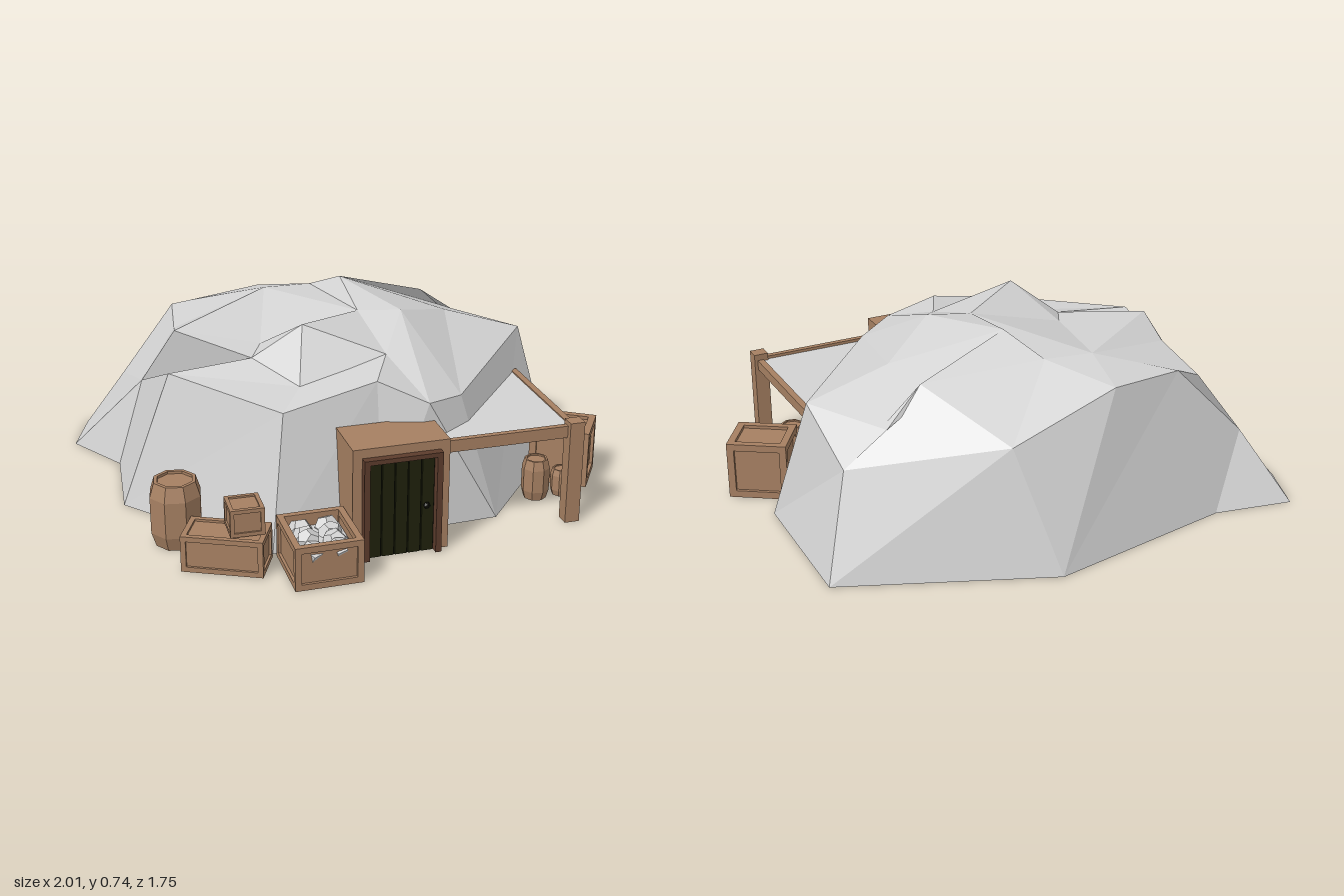
import * as THREE from 'three';

const mat = (name, color, extra = {}) => {
  const m = new THREE.MeshStandardMaterial({ color, flatShading: true, ...extra });
  m.name = name;
  return m;
};
const rock = mat('grey rock', 0xd3d3d3, { side: THREE.DoubleSide });
const wood = mat('wood', 0xa68062);
const darkWood = mat('dark wood', 0x5c3c2c);
const doorGreen = mat('dark green door', 0x1f210c);
const iron = mat('black iron', 0x11120a);

function add(parent, name, geo, material, x = 0, y = 0, z = 0) {
  const m = new THREE.Mesh(geo, material);
  m.name = name;
  m.position.set(x, y, z);
  parent.add(m);
  return m;
}

// Box given by its minimum and maximum corners
function span(parent, name, material, [x0, y0, z0], [x1, y1, z1]) {
  return add(parent, name, new THREE.BoxGeometry(x1 - x0, y1 - y0, z1 - z0), material,
    (x0 + x1) / 2, (y0 + y1) / 2, (z0 + z1) / 2);
}

// Faceted boulder: matching rings from the ground up, then a small cap
function boulder() {
  const base = [[-.43, 0, .585], [0, 0, .56], [.46, 0, .54], [.46, 0, .54], [.9, 0, .03],
    [.91, 0, -.56], [.14, 0, -.88], [.14, 0, -.88], [-.61, 0, -.75], [-.92, 0, -.81],
    [-1, 0, -.59], [-.85, 0, -.34], [-.89, 0, .04]];
  const rim = [[-.36, .51, .49], [0, .585, .47], [.18, .505, .54], [.34, .48, .44], [.8, .51, -.12],
    [.79, .38, -.44], [.26, .465, -.71], [-.17, .6, -.69], [-.48, .58, -.63], [-.77, .28, -.65],
    [-.74, .36, -.34], [-.74, .36, -.34], [-.7, .545, .08]];
  const upper = [[-.25, .53, .31], [-.05, .57, .285], [.1, .605, .265], [.23, .695, .045], [.48, .61, -.14],
    [.62, .5, -.44], [.46, .62, -.38], [0, .66, -.47], [-.19, .655, -.49], [-.55, .56, -.66],
    [-.6, .57, -.34], [-.63, .625, -.16], [-.38, .577, .09]];
  const a = [-.2, .72, .165], b = [.07, .69, -.01], c = [.085, .735, -.31];
  const d = [-.32, .59, -.02], e = upper[8], f = upper[7];
  const crown = [a, a, a, b, c, c, c, f, e, e, e, e, d];
  const pos = [];
  const tri = (...p) => {
    const [u, v, w] = p.map(q => new THREE.Vector3(...q));
    if (v.clone().sub(u).cross(w.clone().sub(u)).length() > 1e-6) pos.push(...p.flat());
  };
  const rings = [base, rim, upper, crown];
  for (let r = 0; r < 3; r++) {
    for (let i = 0; i < base.length; i++) {
      const j = (i + 1) % base.length, lo = rings[r], hi = rings[r + 1];
      tri(lo[i], lo[j], hi[j]);
      tri(lo[i], hi[j], hi[i]);
    }
  }
  tri(a, b, d);
  tri(b, c, f);
  tri(b, f, e);
  tri(b, e, d);
  const g = new THREE.BufferGeometry();
  g.setAttribute('position', new THREE.Float32BufferAttribute(pos, 3));
  g.computeVertexNormals();
  return g;
}

// Crate: recessed panels inside a frame of twelve bars
function crate(parent, name, w, h, d, x, y, z, turn, open = false) {
  const g = new THREE.Group();
  g.name = name;
  g.position.set(x, y, z);
  g.rotation.y = turn;
  const t = Math.min(w, h, d) * 0.14, e = t * 0.45;
  const W = w / 2 - e, D = d / 2 - e;
  if (open) {
    for (const s of [-1, 1]) {
      add(g, 'cratePanel', new THREE.BoxGeometry(.01, h - 2 * e, 2 * D), wood, s * (W - .005), h / 2);
      add(g, 'cratePanel', new THREE.BoxGeometry(2 * W, h - 2 * e, .01), wood, 0, h / 2, s * (D - .005));
    }
  } else span(g, 'cratePanels', wood, [-W, e, -D], [W, h - e, D]);
  for (const s of [-1, 1]) {
    for (const q of [-1, 1]) {
      const cx = s * (w - t) / 2, cz = q * (d - t) / 2, cy = h / 2 + q * (h - t) / 2;
      add(g, 'crateCorner', new THREE.BoxGeometry(t, h, t), wood, cx, h / 2, cz);
      add(g, 'crateRail', new THREE.BoxGeometry(w - 2 * t, t, t), wood, 0, cy, s * (d - t) / 2);
      add(g, 'crateRail', new THREE.BoxGeometry(t, t, d - 2 * t), wood, cx, cy, 0);
    }
  }
  parent.add(g);
  return g;
}

// Eight-sided barrel with a sunken lid
function barrel(parent, name, r, h, x, z) {
  const profile = [[0, 0], [.82, 0], [1, .22], [1, .78], [.82, 1], [.68, 1], [.68, .96], [0, .96]]
    .map(([a, b]) => new THREE.Vector2(a * r, b * h));
  add(parent, name, new THREE.LatheGeometry(profile, 8), wood, x, 0, z).rotation.y = .2;
}

export function createModel() {
  const model = new THREE.Group();
  model.name = 'rockDwelling';
  add(model, 'boulder', boulder(), rock);

  // Entrance housing
  const entrance = new THREE.Group();
  entrance.name = 'entrance';
  model.add(entrance);
  span(entrance, 'leftWall', wood, [.165, 0, .45], [.2, .435, .71]);
  span(entrance, 'rightWall', wood, [-.165, 0, .45], [-.13, .435, .71]);
  span(entrance, 'lintel', wood, [-.13, .4, .5], [.165, .435, .71]);

  // Door with frame, planks and knob
  for (const [x0, x1] of [[-.13, -.108], [.143, .165]]) {
    span(entrance, 'doorJamb', darkWood, [x0, 0, .68], [x1, .4, .74]);
  }
  span(entrance, 'doorHead', darkWood, [-.108, .382, .68], [.143, .4, .74]);
  span(entrance, 'doorBack', iron, [-.108, 0, .69], [.143, .382, .708]);
  for (let i = 0; i < 5; i++) {
    const x = -.106 + i * .05;
    span(entrance, 'doorPlank', doorGreen, [x, .003, .7], [x + .045, .38, .718]);
  }
  add(entrance, 'doorKnob', new THREE.IcosahedronGeometry(.014, 0), iron, .11, .19, .726);

  // Lean-to: post, beams and flat awning
  span(model, 'awningPost', wood, [.692, 0, .605], [.75, .41, .66]);
  span(model, 'frontBeam', wood, [.2, .345, .615], [.7, .392, .638]);
  const side = new THREE.Shape([[-.61, .345], [-.057, .345], [-.03, .385], [-.61, .385]]
    .map(p => new THREE.Vector2(...p)));
  const beam = add(model, 'sideBeam',
    new THREE.ExtrudeGeometry(side, { depth: .026, bevelEnabled: false }), wood, .711);
  beam.rotation.y = Math.PI / 2;
  const cloth = new THREE.Shape([[.2, -.62], [.72, -.62], [.72, -.03], [.35, -.45], [.2, -.52]]
    .map(p => new THREE.Vector2(...p)));
  add(model, 'awning', new THREE.ShapeGeometry(cloth), rock, 0, .38, 0).rotation.x = -Math.PI / 2;

  // Stores beside the lean-to
  crate(model, 'largeCrate', .235, .23, .2, .855, 0, .255, -.58);
  barrel(model, 'smallBarrel', .055, .165, .672, .415);
  barrel(model, 'keg', .042, .11, .78, .42);

  // Stores on the other side of the door
  barrel(model, 'largeBarrel', .1, .255, -.745, .385);
  crate(model, 'longCrate', .3, .14, .16, -.605, 0, .61, -.45);
  crate(model, 'smallCrate', .125, .105, .125, -.54, .14, .62, -.03);
  const bin = crate(model, 'stoneCrate', .25, .168, .27, -.295, 0, .737, 0, true);

  // Heap of loose stones
  span(bin, 'stoneBed', rock, [-.1, .02, -.11], [.1, .12, .11]);
  for (let i = 0; i < 8; i++) {
    const s = add(bin, 'stone', new THREE.DodecahedronGeometry(.047, 0), rock,
      (i % 2 - .5) * .096, .12 + (i === 4 ? .015 : 0), (Math.floor(i / 2) - 1.5) * .058);
    s.scale.y = .9;
    s.rotation.set(i * 1.7, i * 2.3, i * .9);
  }
  return model;
}
